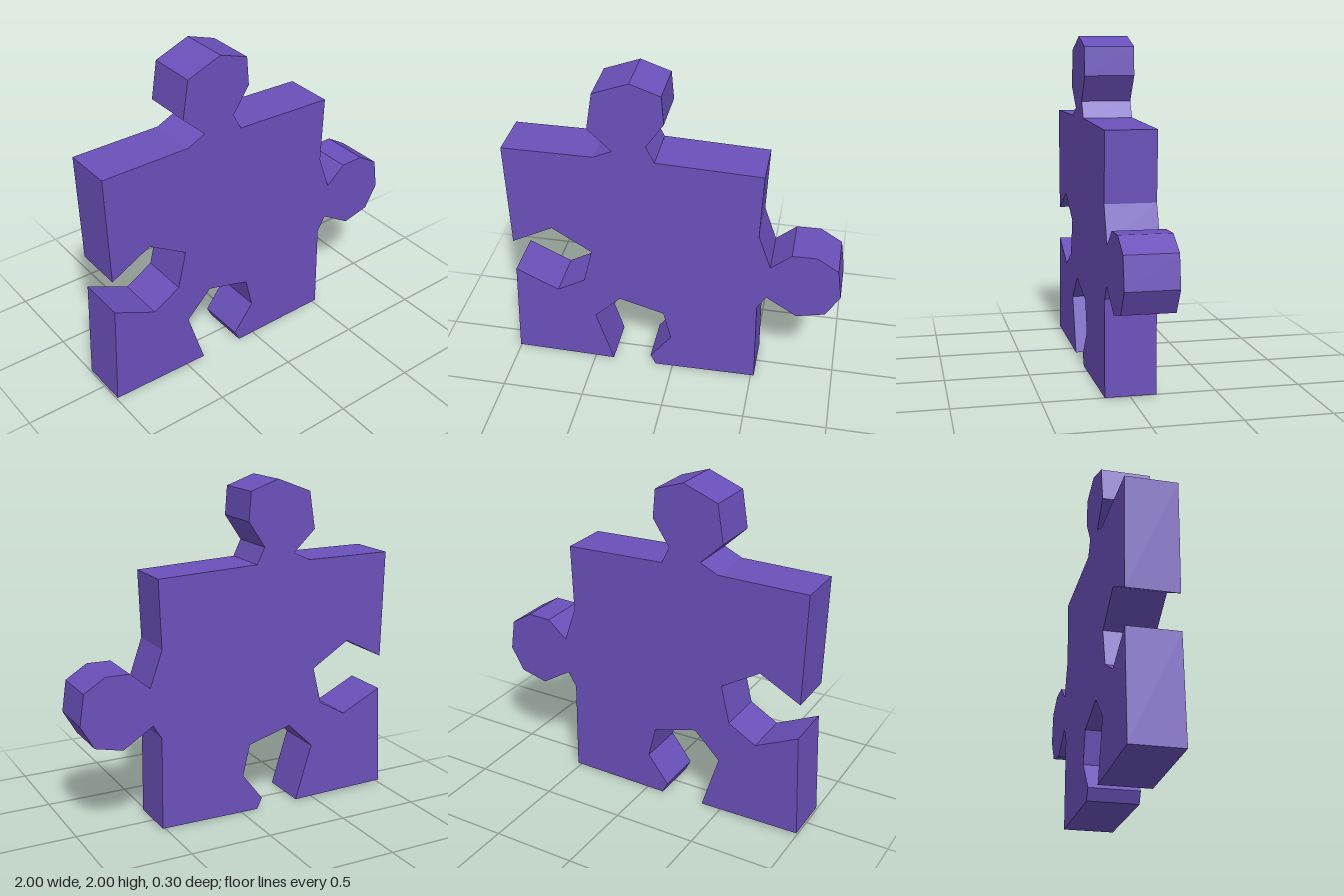
import * as THREE from 'three';

const DEPTH = 0.296;

// Each edge of the piece, walked counter-clockwise from the lower left corner
const bottomEdge = [
  [-1, 0.02], [-0.38, 0.01], [-0.485, 0.35], [-0.325, 0.507], // socket
  [-0.055, 0.43], [-0.01, 0.24], [-0.14, 0.07], [-0.108, 0.003],
];
const rightEdge = [
  [0.52, 0.01], [0.515, 0.57], [0.568, 0.655], [0.752, 0.54], // knob
  [0.92, 0.58], [1, 0.72], [0.973, 0.905], [0.845, 0.985],
  [0.7, 0.982], [0.58, 0.88], [0.505, 1.095],
];
const topEdge = [
  [0.52, 1.497], [-0.097, 1.52], [-0.145, 1.617], [-0.042, 1.77], // knob
  [-0.055, 1.94], [-0.23, 2], [-0.44, 1.92], [-0.477, 1.697],
  [-0.34, 1.567], [-0.45, 1.517],
];
const leftEdge = [
  [-0.987, 1.517], [-0.973, 0.86], [-0.725, 0.99], [-0.49, 0.845], // socket
  [-0.545, 0.62], [-0.715, 0.523], [-0.973, 0.647],
];

export function createModel() {
  const group = new THREE.Group();
  group.name = 'jigsawPiece';

  const outline = [...bottomEdge, ...rightEdge, ...topEdge, ...leftEdge];
  const shape = new THREE.Shape(outline.map(([x, y]) => new THREE.Vector2(x, y)));

  // Flat slab, centred front to back
  const geometry = new THREE.ExtrudeGeometry(shape, { depth: DEPTH, bevelEnabled: false });
  geometry.translate(0, 0, -DEPTH / 2);

  const material = new THREE.MeshStandardMaterial({ color: 0x6a50ba, flatShading: true });
  const piece = new THREE.Mesh(geometry, material);
  piece.name = 'puzzlePieceBody';
  group.add(piece);
  return group;
}
